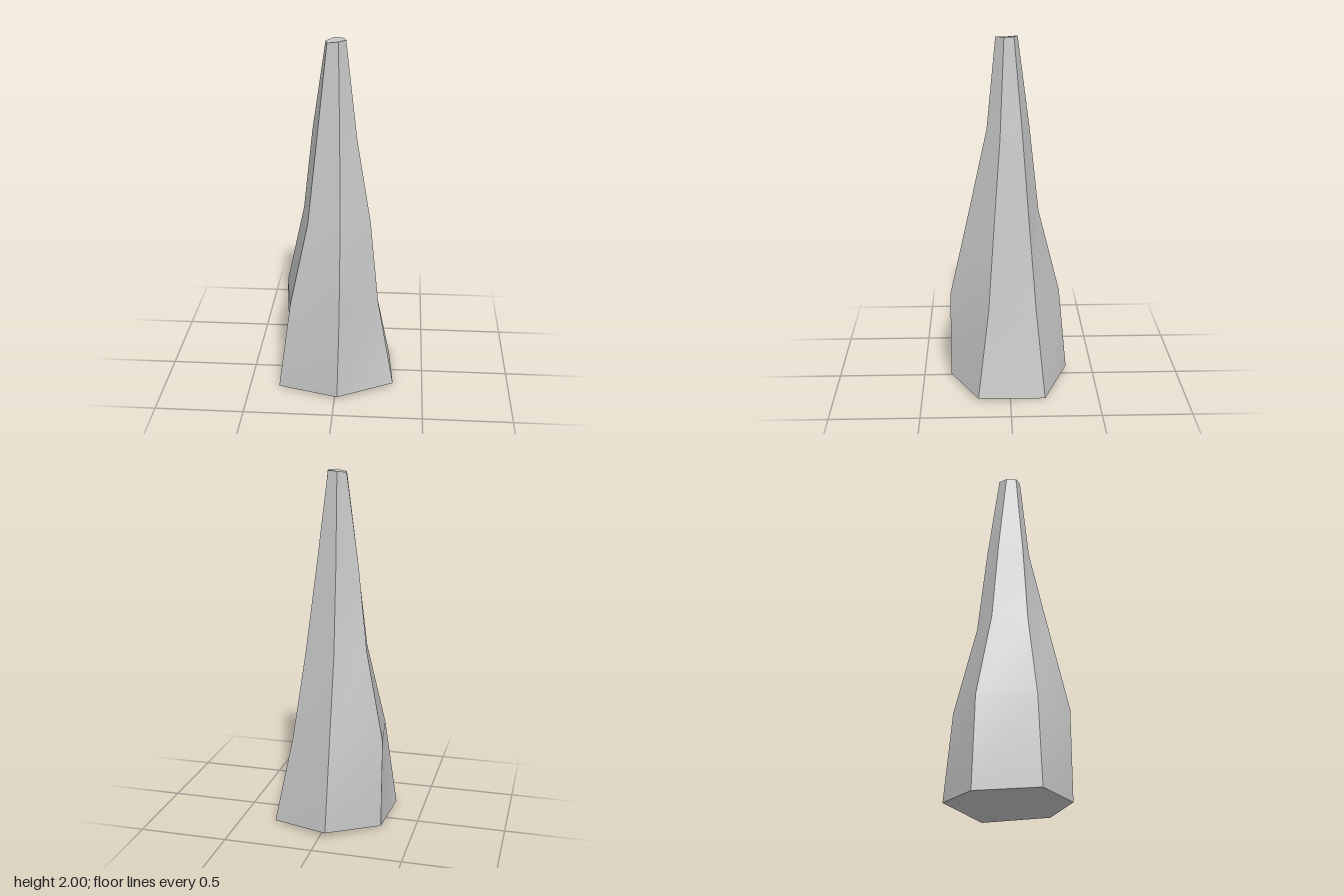
import * as THREE from 'three';
import { toCreasedNormals } from 'three/addons/utils/BufferGeometryUtils.js';

// Six ridges of the spire, each a list of [x, y, z] from the foot to the tip
const ridges = [
  [[0.33, 0.02, 0.18], [0.235, 0.52, 0.118], [0.185, 1.0, 0.085], [0.105, 1.47, 0.05], [0.043, 2.0, 0.027]],
  [[0.015, 0.015, 0.341], [0.027, 0.53, 0.337], [0.025, 1.03, 0.225], [0.015, 1.5, 0.122], [0.005, 2.0, 0.072]],
  [[-0.33, 0.005, 0.229], [-0.26, 0.52, 0.2], [-0.16, 1.0, 0.138], [-0.11, 1.47, 0.105], [-0.056, 1.99, 0.058]],
  [[-0.31, 0.01, -0.133], [-0.31, 0.52, -0.117], [-0.2, 1.02, -0.055], [-0.145, 1.49, -0.03], [-0.068, 1.99, 0.003]],
  [[-0.035, 0.03, -0.342], [-0.048, 0.52, -0.294], [-0.042, 1.01, -0.17], [-0.039, 1.5, -0.115], [-0.027, 2.0, -0.048]],
  [[0.301, 0.0, -0.198], [0.205, 0.5, -0.148], [0.137, 1.0, -0.108], [0.08, 1.5, -0.07], [0.028, 2.0, -0.027]],
];

// Skin neighbouring ridges together and close both ends
function spireGeometry() {
  const sides = ridges.length;
  const levels = ridges[0].length;
  const index = [];
  const at = (side, level) => (side % sides) * levels + level;
  for (let s = 0; s < sides; s++) {
    for (let l = 0; l < levels - 1; l++) {
      const a = at(s, l), b = at(s + 1, l), a2 = at(s, l + 1), b2 = at(s + 1, l + 1);
      index.push(b, a, a2, b, a2, b2);
    }
  }
  for (let s = 1; s < sides - 1; s++) {
    index.push(at(0, 0), at(s, 0), at(s + 1, 0));
    index.push(at(0, levels - 1), at(s + 1, levels - 1), at(s, levels - 1));
  }
  const geometry = new THREE.BufferGeometry();
  geometry.setAttribute('position', new THREE.Float32BufferAttribute(ridges.flat(2), 3));
  geometry.setIndex(index);
  return toCreasedNormals(geometry, THREE.MathUtils.degToRad(30));
}

export function createModel() {
  const model = new THREE.Group();
  model.name = 'stoneSpire';
  const stone = new THREE.MeshStandardMaterial({ color: 0xc6c6c6 });
  stone.name = 'pale grey stone';
  const spire = new THREE.Mesh(spireGeometry(), stone);
  spire.name = 'spire';
  model.add(spire);
  return model;
}
